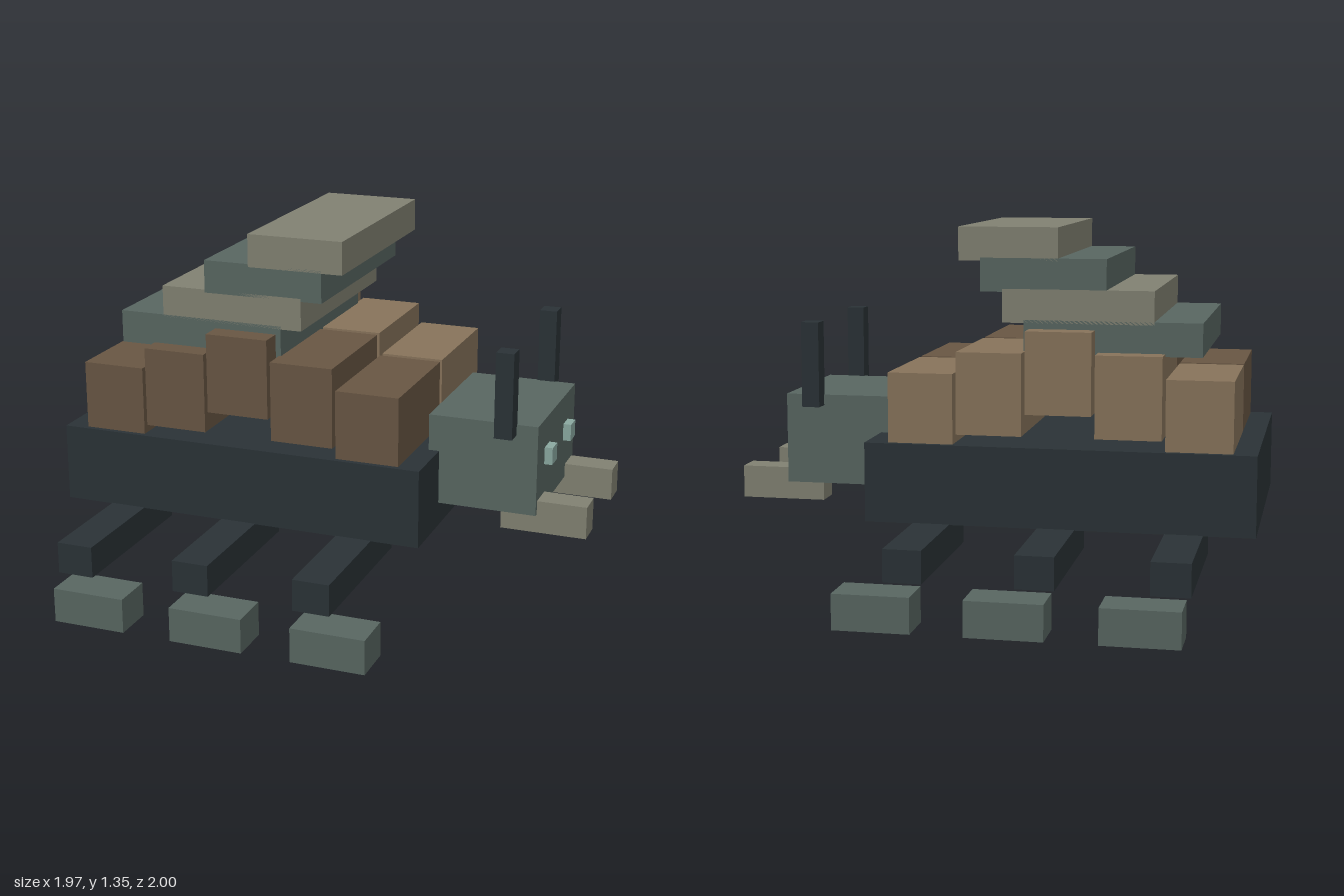
import * as THREE from 'three';

const paint = (color) => new THREE.MeshStandardMaterial({ color, flatShading: true });

export function createModel() {
  const model = new THREE.Group();
  const dark = paint(0x2a3236);
  const green = paint(0x586661);
  const tan = paint(0x818172);
  const brown = paint(0x685643);
  const lightBrown = paint(0x87735a);
  const eyeColor = paint(0x8aa8a0);

  // Box given by its extents along each axis
  function block(name, material, [x0, x1], [y0, y1], [z0, z1]) {
    const mesh = new THREE.Mesh(new THREE.BoxGeometry(x1 - x0, y1 - y0, z1 - z0), material);
    mesh.position.set((x0 + x1) / 2, (y0 + y1) / 2, (z0 + z1) / 2);
    mesh.name = name;
    model.add(mesh);
  }

  // The same box on both sides of the body
  function pair(name, material, x, y, [z0, z1], otherMaterial = material) {
    block(name + 'Near', material, x, y, [z0, z1]);
    block(name + 'Far', otherMaterial, x, y, [-z1, -z0]);
  }

  // Body and head
  block('body', dark, [-0.99, 0.43], [0.27, 0.563], [-0.505, 0.505]);
  block('head', green, [0.39, 0.80], [0.36, 0.70], [-0.274, 0.274]);
  pair('eye', eyeColor, [0.77, 0.83], [0.525, 0.59], [0.105, 0.172]);
  pair('mandible', tan, [0.665, 0.985], [0.29, 0.412], [0.155, 0.258]);
  pair('antenna', dark, [0.653, 0.72], [0.66, 0.98], [0.267, 0.335]);

  // Arched row of split shell blocks
  [0.52, 0.60, 0.68, 0.60, 0.52].forEach((y, i) => {
    const x = -0.905 + i * 0.2525;
    pair('shellBlock' + (i + 1), brown, [x, x + 0.24], [y, y + 0.30], [0.013, 0.485], lightBrown);
  });

  // Stepped slabs on the back, each shorter than the one below
  [[-0.785, -0.14], [-0.612, -0.06], [-0.44, 0.02], [-0.265, 0.10]].forEach((x, i) => {
    const y = 0.89 + i * 0.111;
    block('backSlab' + (i + 1), i % 2 ? tan : green, x, [y, y + 0.122], [-0.40, 0.40]);
  });

  // Three legs and feet per side
  for (let i = 0; i < 3; i++) {
    const x = -0.805 + i * 0.459;
    pair('leg' + (i + 1), dark, [x, x + 0.137], [0.155, 0.272], [0.28, 0.92]);
    pair('foot' + (i + 1), green, [x + 0.022, x + 0.297], [0, 0.128], [0.843, 1]);
  }

  return model;
}
